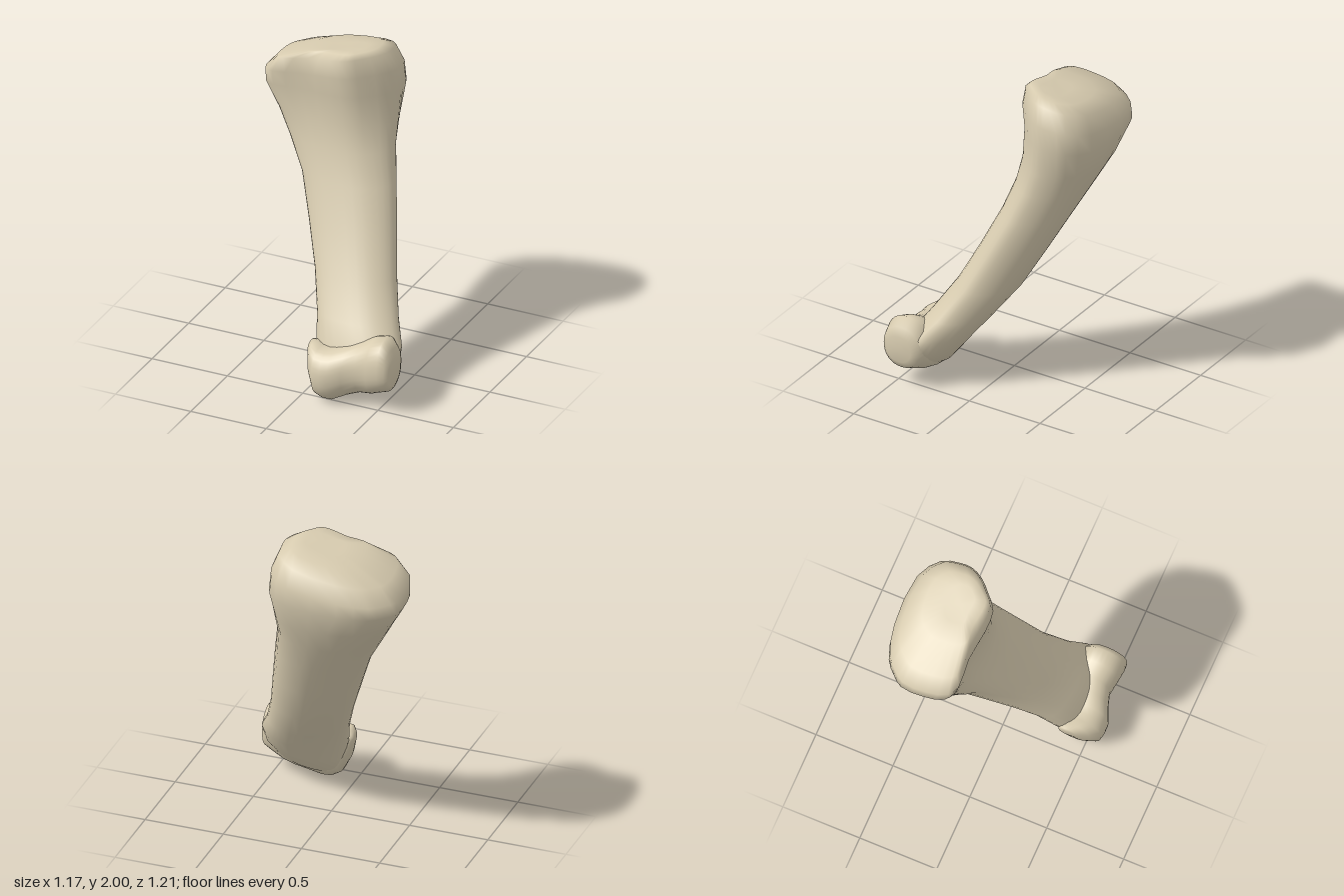
import * as THREE from 'three';

const SIDES = 32;

// Skin a list of rings (arrays of Vector3), closing both ends with a fan
function loft(rings) {
  const n = rings[0].length, pos = [], idx = [];
  rings.forEach(r => r.forEach(p => pos.push(p.x, p.y, p.z)));
  for (let i = 0; i < rings.length - 1; i++) {
    for (let j = 0; j < n; j++) {
      const a = i * n + j, b = i * n + (j + 1) % n;
      idx.push(a, b, a + n, b, b + n, a + n);
    }
  }
  const cap = (ring, start, flip) => {
    const c = ring.reduce((s, p) => s.add(p), new THREE.Vector3()).divideScalar(n);
    const k = pos.length / 3;
    pos.push(c.x, c.y, c.z);
    for (let j = 0; j < n; j++) {
      const a = start + j, b = start + (j + 1) % n;
      if (flip) idx.push(k, a, b); else idx.push(k, b, a);
    }
  };
  cap(rings[0], 0, false);
  cap(rings[rings.length - 1], (rings.length - 1) * n, true);
  const g = new THREE.BufferGeometry();
  g.setAttribute('position', new THREE.Float32BufferAttribute(pos, 3));
  g.setIndex(idx);
  g.computeVertexNormals();
  return g;
}

const outline = pts => new THREE.CatmullRomCurve3(
  pts.map(([x, z]) => new THREE.Vector3(x, 0, z)), true);

// Broad upper end: flat, slightly hollow front and rounded back
const baseOutline = outline([
  [1, 0.1], [0.9, 0.41], [0.71, 0.7], [0.49, 0.96], [0.17, 0.98], [-0.32, 0.89],
  [-0.76, 0.93], [-0.92, 0.78], [-1, 0.3], [-0.98, -0.3], [-0.85, -0.56],
  [-0.66, -0.81], [-0.2, -1], [0.6, -0.96], [0.93, -0.6], [1, -0.2],
]);

// Shaft: broad front, narrower rounded back
const shaftOutline = outline([
  [1, 0.12], [0.95, 0.42], [0.78, 0.7], [0.48, 0.92], [0.1, 1], [-0.4, 0.94],
  [-0.78, 0.8], [-0.95, 0.55], [-1, 0.2], [-0.92, -0.2], [-0.72, -0.55],
  [-0.4, -0.85], [-0.05, -1], [0.35, -0.92], [0.68, -0.65], [0.9, -0.25],
]);

// Near-horizontal section blended between the two outlines
function shaftRing([y, x0, x1, z0, z1, tiltX, tiltZ, blend]) {
  const ring = [];
  for (let j = 0; j < SIDES; j++) {
    const t = j / SIDES;
    const p = shaftOutline.getPoint(t).lerp(baseOutline.getPoint(t), blend);
    ring.push(new THREE.Vector3(
      (x0 + x1) / 2 + p.x * (x1 - x0) / 2,
      y + tiltX * p.x + tiltZ * p.z,
      (z0 + z1) / 2 + p.z * (z1 - z0) / 2));
  }
  return ring;
}

// Upright section of the lower joint
function jointRing([x, cy, cz, ry, rz]) {
  const ring = [];
  for (let j = 0; j < SIDES; j++) {
    const a = j / SIDES * Math.PI * 2;
    const c = Math.cos(a), s = Math.sin(a);
    ring.push(new THREE.Vector3(x,
      cy + ry * Math.sign(c) * Math.abs(c) ** 0.9,
      cz + rz * Math.sign(s) * Math.abs(s) ** 0.9));
  }
  return ring;
}

export function createModel() {
  const bone = new THREE.MeshStandardMaterial({ color: 0xd8ccb0 });
  bone.name = 'bone';
  const model = new THREE.Group();
  model.name = 'fingerBone';
  const add = (name, rings) => {
    const mesh = new THREE.Mesh(loft(rings), bone);
    mesh.name = name;
    model.add(mesh);
  };

  // Broad upper end and tapering shaft: y, x range, z range, tilts, outline blend
  add('shaft', [
    [1.97, -0.17, 0.06, -0.34, -0.18, 0.02, 0.01, 1],
    [1.96, -0.30, 0.12, -0.46, -0.11, 0.03, 0.02, 1],
    [1.905, -0.50, 0.18, -0.55, -0.075, 0.06, 0.03, 1],
    [1.80, -0.58, 0.225, -0.595, -0.06, 0.05, 0.03, 1],
    [1.69, -0.585, 0.235, -0.60, -0.08, 0.02, 0.015, 1],
    [1.52, -0.50, 0.235, -0.56, -0.08, 0, 0, 0.6],
    [1.36, -0.41, 0.245, -0.485, -0.05, 0, 0, 0.3],
    [1.17, -0.30, 0.29, -0.395, 0.01, 0, 0, 0.1],
    [0.92, -0.20, 0.35, -0.27, 0.12, 0, 0, 0],
    [0.67, -0.10, 0.41, -0.14, 0.24, 0, 0, 0],
    [0.46, -0.02, 0.49, 0.01, 0.37, 0, 0, 0],
    [0.32, 0.02, 0.56, 0.115, 0.46, 0.02, 0, 0],
    [0.20, 0.06, 0.57, 0.205, 0.50, 0.04, 0, 0],
    [0.11, 0.10, 0.54, 0.28, 0.50, 0.06, 0, 0],
    [0.075, 0.15, 0.46, 0.33, 0.48, 0.04, 0, 0],
  ].map(shaftRing));

  // Lower joint with two rounded knuckles and a groove between: x, centre y z, radii y z
  add('lowerJoint', [
    [0.015, 0.28, 0.41, 0.045, 0.055],
    [0.05, 0.23, 0.44, 0.11, 0.10],
    [0.10, 0.175, 0.465, 0.15, 0.13],
    [0.15, 0.16, 0.455, 0.16, 0.145],
    [0.20, 0.165, 0.45, 0.165, 0.15],
    [0.28, 0.195, 0.42, 0.16, 0.145],
    [0.36, 0.225, 0.40, 0.165, 0.14],
    [0.44, 0.255, 0.415, 0.18, 0.14],
    [0.52, 0.285, 0.43, 0.175, 0.14],
    [0.565, 0.265, 0.44, 0.135, 0.125],
    [0.583, 0.255, 0.45, 0.085, 0.085],
  ].map(jointRing));

  return model;
}
